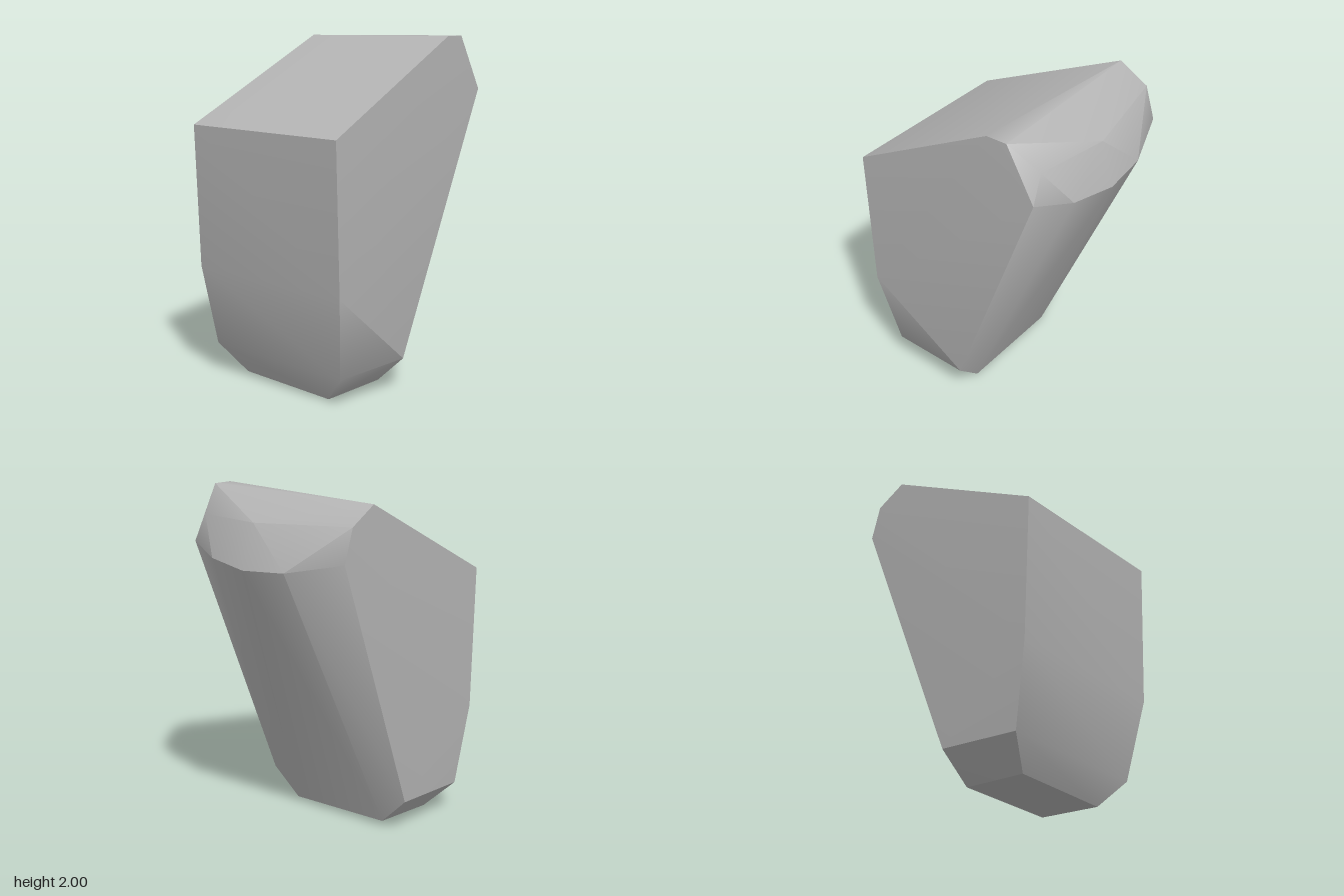
import * as THREE from 'three';
import { toCreasedNormals } from 'three/addons/utils/BufferGeometryUtils.js';
import { ConvexGeometry } from 'three/addons/geometries/ConvexGeometry.js';

// Corner rings of the block, as [x, y, z]
const base = [
  [0.315, 0.0, 0.43], [0.315, 0.02, 0.035], [-0.345, 0.03, 0.07], [-0.345, 0.015, 0.465],
];
const lowerRim = [
  [0.49, 0.17, 0.51], [0.49, 0.185, 0.01], [-0.525, 0.2, 0.06], [-0.505, 0.18, 0.56],
];
const frontBend = [[0.575, 0.655, 0.595], [-0.535, 0.66, 0.65]];
const frontTop = [[0.58, 1.505, 0.625], [-0.53, 1.495, 0.685]];
// Rounded rear bulge below the crown
const rearRim = [
  [-0.58, 1.68, -0.525], [-0.265, 1.615, -0.655], [0.01, 1.6, -0.69],
  [0.29, 1.63, -0.655], [0.52, 1.69, -0.575],
];
const rearCrown = [[-0.58, 1.87, -0.465], [0.005, 1.85, -0.61], [0.445, 1.85, -0.56]];
const topRidge = [[-0.57, 1.97, -0.29], [0.54, 2.0, -0.28], [0.53, 2.0, -0.405]];

export function createModel() {
  const group = new THREE.Group();
  group.name = 'stoneBlock';
  const stone = new THREE.MeshStandardMaterial({ color: 0xb4b4b4 });
  stone.name = 'grey stone';

  // One faceted boulder, soft over shallow bends and sharp at the corners
  const points = [base, lowerRim, frontBend, frontTop, rearRim, rearCrown, topRidge]
    .flat().map((p) => new THREE.Vector3(...p));
  const boulder = new THREE.Mesh(toCreasedNormals(new ConvexGeometry(points), 0.7), stone);
  boulder.name = 'boulder';
  group.add(boulder);
  return group;
}
